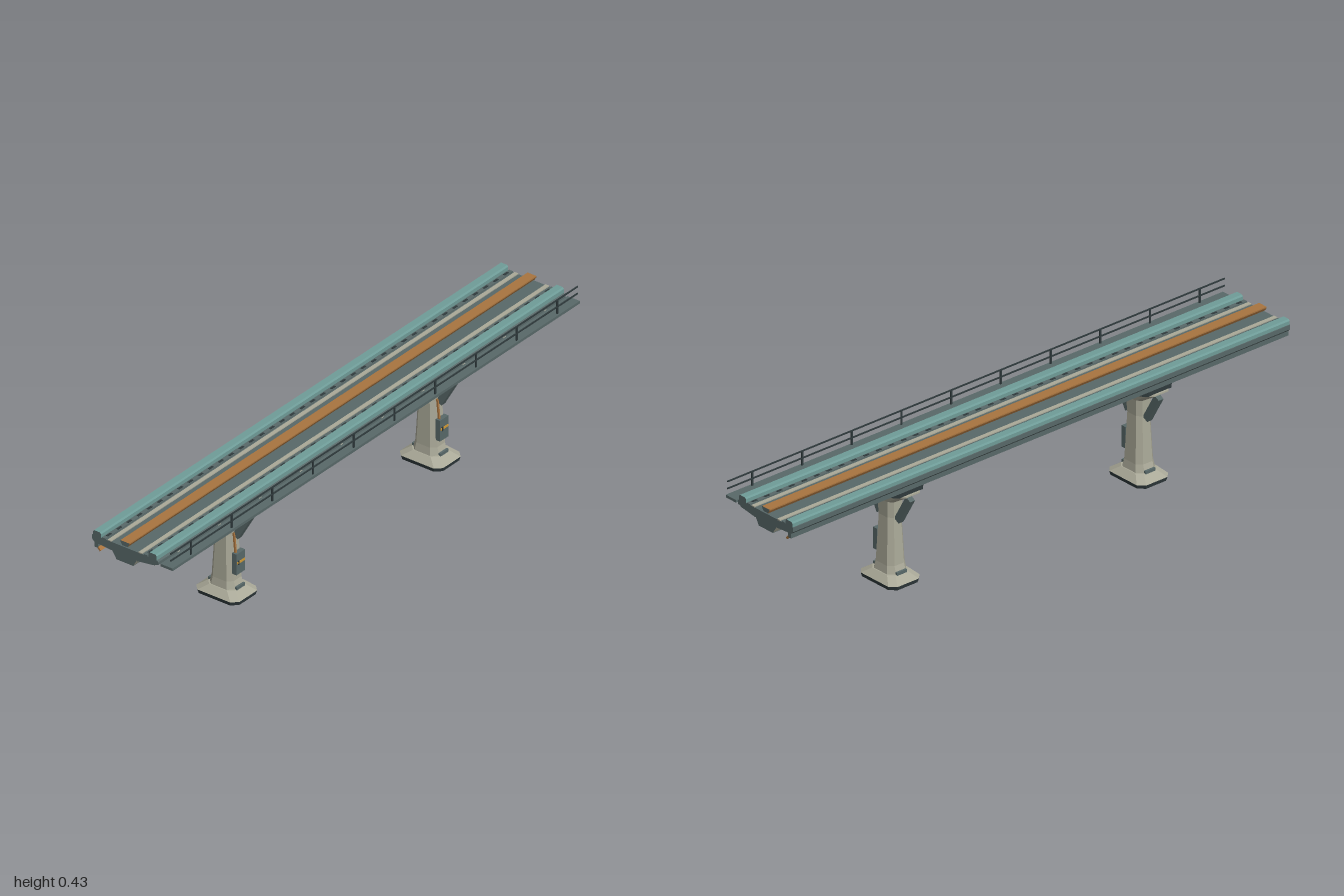
import * as THREE from 'three';

const mat = (name, color) => {
  const m = new THREE.MeshStandardMaterial({ color });
  m.name = name;
  return m;
};

export function createModel() {
  const slate = mat('slate', 0x586868);
  const concrete = mat('concrete', 0xaaa998);
  const teal = mat('teal', 0x6f9c98);
  const copper = mat('copper', 0xa8743f);
  const dark = mat('dark', 0x2f3a3c);
  const amber = mat('amber', 0xd09a35);

  const LENGTH = 2;
  const CX = -0.03; // centre line of the track and piers
  const model = new THREE.Group();
  model.name = 'elevatedTrack';

  const add = (parent, name, geometry, material, x = 0, y = 0, z = 0) => {
    const mesh = new THREE.Mesh(geometry, material);
    mesh.name = name;
    mesh.position.set(x, y, z);
    parent.add(mesh);
    return mesh;
  };

  const box = (parent, name, material, x0, x1, y0, y1, z0, z1) =>
    add(parent, name, new THREE.BoxGeometry(x1 - x0, y1 - y0, z1 - z0), material,
      (x0 + x1) / 2, (y0 + y1) / 2, (z0 + z1) / 2);

  // Outline in x and y, extruded along z about its own middle
  const profile = (parent, name, points, depth, side, cap = side, z = 0) => {
    const shape = new THREE.Shape(points.map(([x, y]) => new THREE.Vector2(x, y)));
    const geometry = new THREE.ExtrudeGeometry(shape, { depth, bevelEnabled: false });
    geometry.translate(0, 0, -depth / 2);
    return add(parent, name, geometry, [cap, side], 0, 0, z);
  };

  // Flat faced loft through chamfered rectangles: [y, halfX, halfZ, chamfer]
  const loft = (parent, name, rings, material) => {
    const loops = rings.map(([y, a, b, c]) => [
      [a, y, b - c], [a, y, c - b], [a - c, y, -b], [c - a, y, -b],
      [-a, y, c - b], [-a, y, b - c], [c - a, y, b], [a - c, y, b]]);
    const pos = [];
    const tri = (...corners) => corners.forEach((p) => pos.push(...p));
    for (let r = 0; r < loops.length - 1; r++) {
      for (let i = 0; i < 8; i++) {
        const j = (i + 1) % 8, lo = loops[r], hi = loops[r + 1];
        tri(lo[i], lo[j], hi[j]);
        tri(lo[i], hi[j], hi[i]);
      }
    }
    const first = loops[0], last = loops[loops.length - 1];
    for (let i = 1; i < 7; i++) {
      tri(first[0], first[i + 1], first[i]);
      tri(last[0], last[i], last[i + 1]);
    }
    const geometry = new THREE.BufferGeometry();
    geometry.setAttribute('position', new THREE.Float32BufferAttribute(pos, 3));
    geometry.computeVertexNormals();
    return add(parent, name, geometry, material);
  };

  // Box stretched between two points of an x-y plane
  const strut = (parent, name, material, [x0, y0], [x1, y1], width, depth, z = 0) => {
    const mesh = add(parent, name,
      new THREE.BoxGeometry(width, Math.hypot(x1 - x0, y1 - y0), depth), material,
      (x0 + x1) / 2, (y0 + y1) / 2, z);
    mesh.rotation.z = Math.atan2(x0 - x1, y1 - y0);
    return mesh;
  };

  // Deck slab and box girder
  const deck = new THREE.Group();
  deck.name = 'deck';
  model.add(deck);
  profile(deck, 'deckSlab', [
    [-0.155, 0.39], [-0.155, 0.375], [-0.145, 0.365], [-0.132, 0.365], [-0.078, 0.361],
    [0.016, 0.361], [0.085, 0.37], [0.098, 0.374], [0.098, 0.384], [0.09, 0.39],
  ], LENGTH, slate);
  profile(deck, 'boxGirder', [[-0.079, 0.362], [-0.063, 0.338], [0.003, 0.338], [0.017, 0.362]],
    LENGTH, concrete, slate);
  box(deck, 'girderSoffit', slate, -0.063, 0.003, 0.336, 0.339, -1, 1);
  profile(deck, 'wingSoffit', [[0.016, 0.358], [0.085, 0.368], [0.085, 0.371], [0.016, 0.361]],
    LENGTH, concrete, slate);

  // Side guide rails, mirrored about the track centre
  for (const s of [-1, 1]) {
    const rail = [[0.091, 0.386], [0.091, 0.402], [0.095, 0.407], [0.118, 0.407],
      [0.122, 0.402], [0.122, 0.386]].map(([x, y]) => [CX + s * x, y]);
    profile(deck, 'guideRail', rail, LENGTH, teal, slate);
    const x = (d) => CX + s * d;
    box(deck, 'runningStrip', concrete, x(0.059) - 0.007, x(0.059) + 0.007, 0.388, 0.393, -1, 1);
    box(deck, 'clipStrip', slate, x(0.08) - 0.007, x(0.08) + 0.007, 0.388, 0.393, -1, 1);
    for (let i = 0; i < 40; i++) {
      const z = -0.975 + i * 0.05;
      box(deck, 'railClip', dark, x(0.08) - 0.004, x(0.08) + 0.004, 0.392, 0.394, z - 0.01, z + 0.01);
    }
  }

  // Raised centre conductor on slim pedestals
  profile(deck, 'centreConductor', [[-0.047, 0.405], [-0.04, 0.394], [-0.02, 0.394],
    [-0.013, 0.405], [-0.013, 0.409], [-0.047, 0.409]], LENGTH, copper, slate);
  for (let i = 0; i < 10; i++) {
    const z = -0.9 + i * 0.2;
    box(deck, 'conductorPedestal', dark, CX - 0.003, CX + 0.003, 0.389, 0.395, z - 0.01, z + 0.01);
  }

  // Cable tray and conduit below the right edge
  box(deck, 'cableTray', slate, -0.146, -0.132, 0.35, 0.366, -1, 1);
  strut(deck, 'conduit', copper, [-0.134, 0.353], [-0.124, 0.342], 0.006, LENGTH);

  // Walkway with brackets and railing
  const walkway = new THREE.Group();
  walkway.name = 'walkway';
  model.add(walkway);
  box(walkway, 'walkwayPlate', slate, 0.106, 0.153, 0.373, 0.382, -1, 1);
  for (let i = 0; i < 10; i++) {
    const z = -0.9 + i * 0.2;
    profile(walkway, 'walkwayBracket', [[0.012, 0.348], [0.05, 0.353], [0.055, 0.349],
      [0.148, 0.37], [0.148, 0.375], [0.096, 0.377], [0.016, 0.362]], 0.012, concrete, concrete, z);
    box(walkway, 'railingPost', dark, 0.143, 0.147, 0.38, 0.432, z - 0.003, z + 0.003);
  }
  for (const y of [0.406, 0.43]) {
    box(walkway, 'handrail', dark, 0.143, 0.147, y - 0.002, y + 0.002, -1, 1);
  }

  // Piers
  for (const z of [-0.5, 0.5]) {
    const pier = new THREE.Group();
    pier.name = 'pier';
    pier.position.set(CX, 0, z);
    model.add(pier);
    loft(pier, 'footingBase', [[0, 0.08, 0.06, 0.02], [0.013, 0.083, 0.063, 0.02]], dark);
    loft(pier, 'footing', [[0.013, 0.083, 0.063, 0.02], [0.034, 0.052, 0.042, 0.018]], concrete);
    loft(pier, 'column', [
      [0.033, 0.05, 0.039, 0.02], [0.06, 0.042, 0.035, 0.016], [0.22, 0.034, 0.028, 0.014],
      [0.275, 0.037, 0.031, 0.014], [0.318, 0.104, 0.046, 0.018], [0.323, 0.104, 0.046, 0.018],
    ], concrete);
    loft(pier, 'bearingPlate', [[0.322, 0.097, 0.068, 0.022], [0.338, 0.097, 0.068, 0.022]], dark);
    box(pier, 'bearingBlock', slate, -0.092, -0.034, 0.328, 0.355, -0.04, 0.04);

    for (const s of [-1, 1]) {
      strut(pier, 'brace', slate, [s * 0.093, 0.304], [s * 0.04, 0.211], 0.023, 0.02);
      box(pier, 'anchorShoe', slate, s * 0.05 - 0.005, s * 0.05 + 0.005, 0.032, 0.042, -0.02, 0.02);
    }

    // Control cabinet and its feed pipe
    box(pier, 'cabinet', slate, 0.036, 0.054, 0.085, 0.158, -0.021, 0.021);
    box(pier, 'cabinetStripe', amber, 0.053, 0.0555, 0.122, 0.13, -0.018, 0.018);
    box(pier, 'cabinetLatch', dark, 0.053, 0.057, 0.119, 0.133, 0.009, 0.014);
    strut(pier, 'feedPipe', copper, [0.044, 0.155], [0.037, 0.225], 0.006, 0.006, 0.012);
  }
  return model;
}
